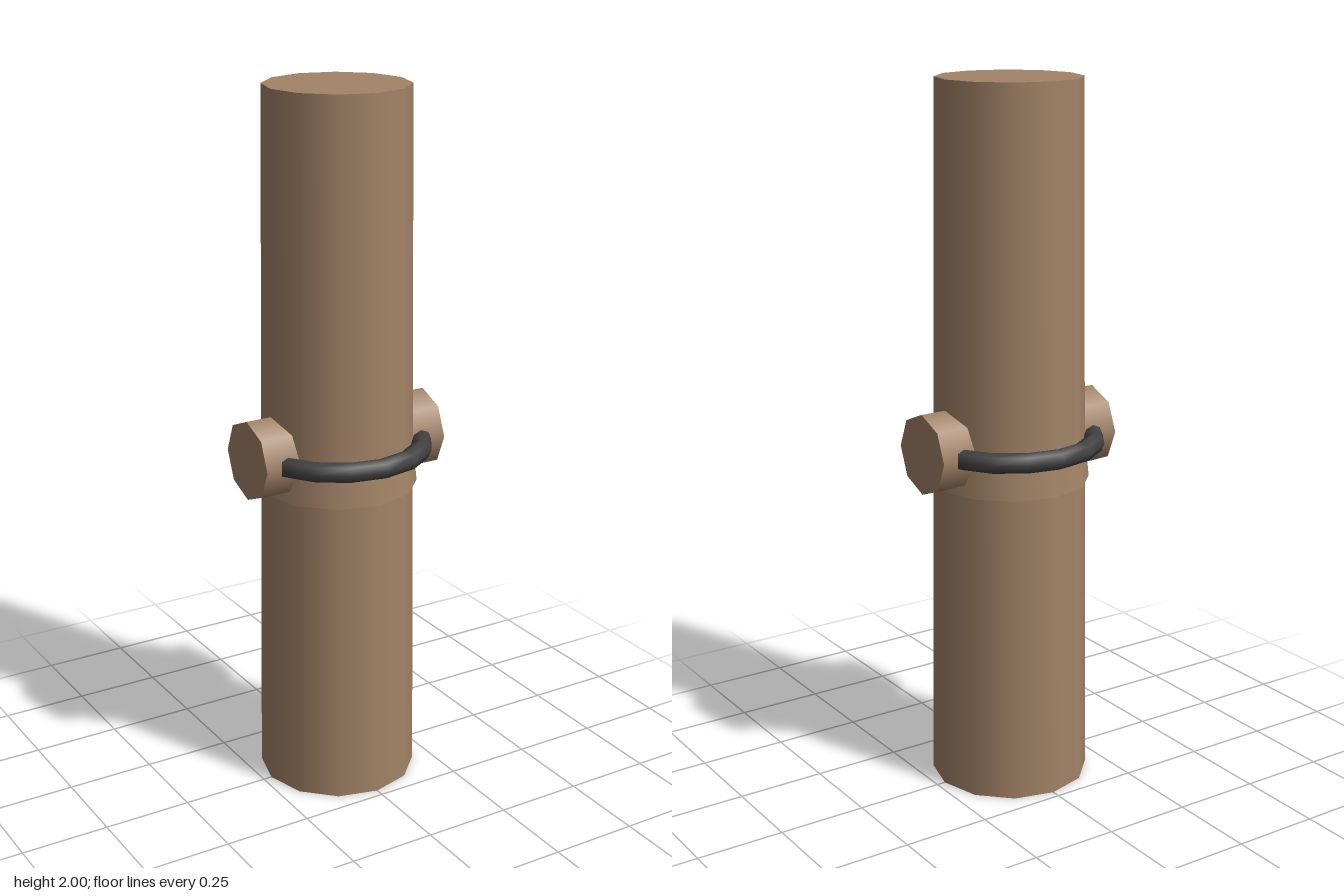
import * as THREE from 'three';

export function createModel() {
  const model = new THREE.Group();
  model.name = 'post';

  const wood = new THREE.MeshStandardMaterial({ color: 0xa38367 });
  wood.name = 'wood';
  const iron = new THREE.MeshStandardMaterial({ color: 0x404040 });
  iron.name = 'dark iron';

  const add = (name, geometry, material, y) => {
    const mesh = new THREE.Mesh(geometry, material);
    mesh.name = name;
    mesh.position.y = y;
    model.add(mesh);
    return mesh;
  };

  // Tapered twelve-sided shaft
  add('shaft', new THREE.CylinderGeometry(0.2, 0.225, 2, 12), wood, 1);

  // Short collar that flares out below the ring and sinks into the shaft above it
  add('collar', new THREE.CylinderGeometry(0.2, 0.225, 0.225, 12), wood, 1);

  // Eight-sided peg through the shaft, showing on both sides
  const peg = add('crossPeg', new THREE.CylinderGeometry(0.1135, 0.1135, 0.572, 8), wood, 1);
  peg.rotation.z = Math.PI / 2;

  // Ring around the shaft, held by the peg
  const ring = add('ring', new THREE.TorusGeometry(0.24, 0.029, 8, 16), iron, 1);
  ring.rotation.x = Math.PI / 2;

  return model;
}
